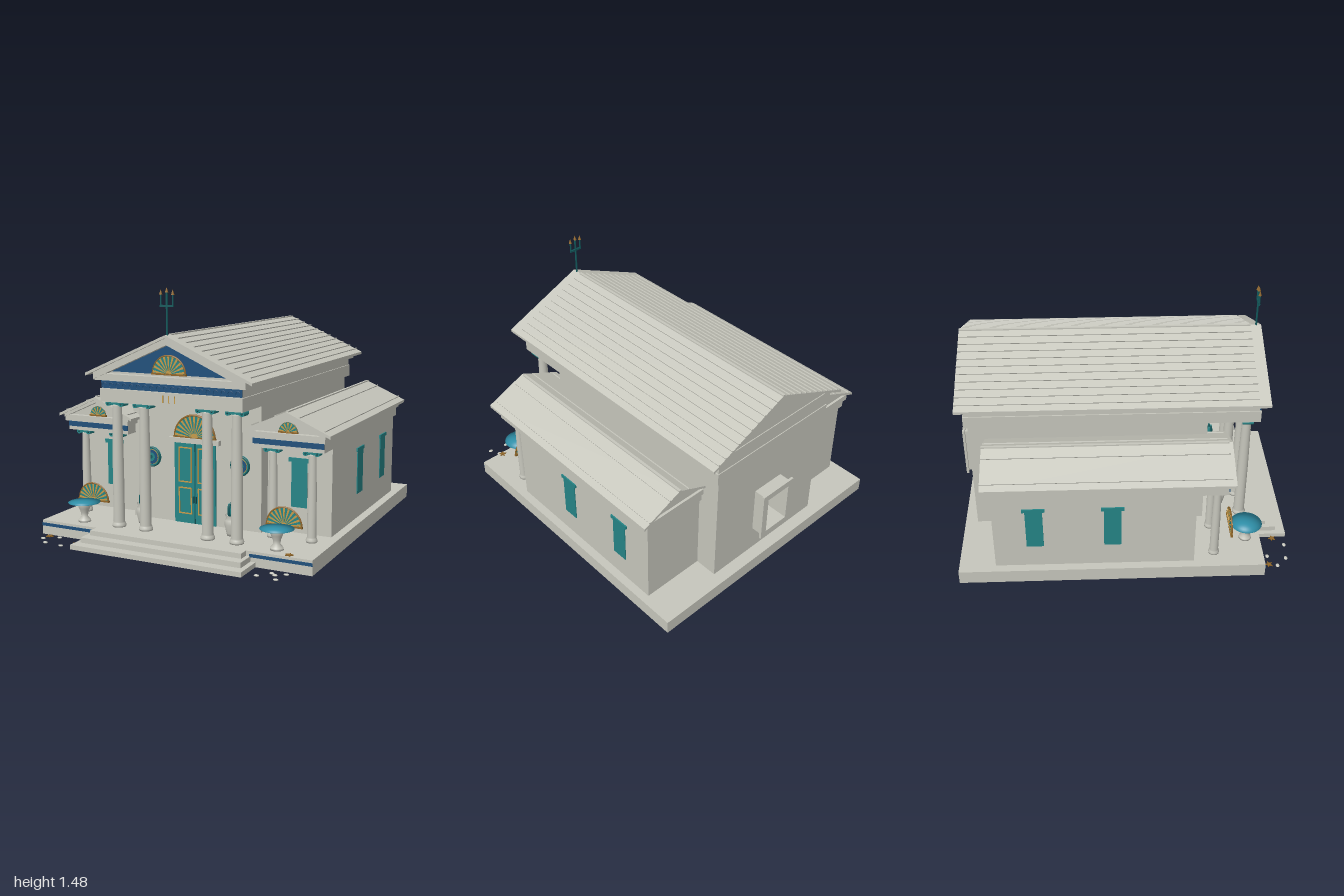
import * as THREE from 'three';

const mat = (name, color, side = THREE.FrontSide) => {
  const m = new THREE.MeshStandardMaterial({ color, side });
  m.name = name;
  return m;
};

export function createModel() {
  const stone = mat('stone', 0xc6c6bc);
  const teal = mat('teal', 0x258486);
  const navy = mat('navy', 0x1f4f7a);
  const gold = mat('gold', 0xc49a4a);
  const bronze = mat('bronze', 0x8f6528);
  const water = mat('water', 0x2f8fa8);
  const darkTeal = mat('dark teal', 0x12595c);

  const root = new THREE.Group();
  root.name = 'temple';
  const add = (name, geo, m, x = 0, y = 0, z = 0, parent = root) => {
    const mesh = new THREE.Mesh(geo, m);
    mesh.name = name;
    mesh.position.set(x, y, z);
    parent.add(mesh);
    return mesh;
  };
  // box given by its ranges
  const box = (name, m, x0, x1, y0, y1, z0, z1, parent = root) =>
    add(name, new THREE.BoxGeometry(x1 - x0, y1 - y0, z1 - z0), m,
      (x0 + x1) / 2, (y0 + y1) / 2, (z0 + z1) / 2, parent);
  const shapeOf = pts => new THREE.Shape(pts.map(p => new THREE.Vector2(...p)));
  const prism = (name, m, pts, z0, z1, parent = root, x = 0, holes = []) => {
    const s = shapeOf(pts);
    holes.forEach(h => s.holes.push(shapeOf(h)));
    return add(name, new THREE.ExtrudeGeometry(s, { depth: z1 - z0, bevelEnabled: false }), m, x, 0, z0, parent);
  };
  const rect = (x0, x1, y0, y1) => [[x0, y0], [x1, y0], [x1, y1], [x0, y1]];
  const chevron = (name, w, y0, y1, t, z0, z1, parent, x) =>
    prism(name, stone, [[-w, y0 - t], [0, y1 - t], [w, y0 - t], [w, y0], [0, y1], [-w, y0]], z0, z1, parent, x);
  const lathe = (pts, n = 24) => new THREE.LatheGeometry(pts.map(p => new THREE.Vector2(...p)), n);

  // shell-shaped half disc with rim and rays
  const fan = (name, r, x, y, z, rays = 9) => {
    const g = new THREE.Group();
    g.name = name;
    g.position.set(x, y, z);
    root.add(g);
    const half = new THREE.Shape();
    half.absarc(0, 0, r * 0.96, 0, Math.PI, false);
    add('fanPlate', new THREE.ExtrudeGeometry(half, { depth: 0.008, bevelEnabled: false, curveSegments: 24 }), teal, 0, 0, -0.004, g);
    add('fanRim', new THREE.TorusGeometry(r * 0.95, r * 0.05, 6, 28, Math.PI), bronze, 0, 0, 0, g);
    box('fanBase', bronze, -r, r, -0.005, 0.005, -0.007, 0.007, g);
    for (let i = 0; i < rays; i++) {
      const a = Math.PI * (i + 0.5) / rays, d = 0.45 * Math.PI / rays / 2;
      const p = (k, b) => [k * r * Math.cos(b), k * r * Math.sin(b)];
      prism('fanRay', gold, [p(0.12, a - d), p(0.92, a - d), p(0.92, a + d), p(0.12, a + d)], -0.006, 0.006, g);
    }
    const hub = new THREE.Shape();
    hub.absarc(0, 0, r * 0.18, 0, Math.PI, false);
    add('fanHub', new THREE.ExtrudeGeometry(hub, { depth: 0.014, bevelEnabled: false }), gold, 0, 0, -0.007, g);
  };

  // column with scrolled capital
  const column = (name, x, z, top, r) => {
    const g = new THREE.Group();
    g.name = name;
    g.position.set(x, 0, z);
    root.add(g);
    const y = 0.085;
    add('shaft', lathe([[0, y], [r * 1.2, y], [r * 1.25, y + 0.01], [r * 1.1, y + 0.022], [r, y + 0.03],
      [r * 0.98, (y + top) / 2], [r * 0.82, top - 0.03], [r * 0.95, top - 0.02], [0, top - 0.02]]), stone, 0, 0, 0, g);
    box('capital', teal, -r * 1.2, r * 1.2, top - 0.022, top, -r * 0.9, r * 0.9, g);
    for (const s of [-1, 1]) {
      const v = add('scroll', new THREE.CylinderGeometry(0.015, 0.015, r * 1.9, 14), teal, s * r * 1.3, top - 0.015, 0, g);
      v.rotation.x = Math.PI / 2;
      add('scrollEye', new THREE.SphereGeometry(0.007, 8, 6), darkTeal, s * r * 1.3, top - 0.015, r * 0.9, g);
    }
  };

  // thin seam lines lying on a roof slope
  const seams = (cx, w, y0, y1, offsets, z0, z1) => {
    for (const s of [-1, 1]) for (const d of offsets) {
      const b = add('roofSeam', new THREE.BoxGeometry(0.007, 0.01, z1 - z0), stone,
        cx + s * d, y1 - (y1 - y0) * d / w + 0.002, (z0 + z1) / 2);
      b.rotation.z = -s * Math.atan((y1 - y0) / w);
    }
  };

  // platform and steps
  box('platform', stone, -0.86, 0.86, 0, 0.085, -0.985, 0.82);
  [[0.535, 0.027, 1], [0.505, 0.057, 0.94], [0.48, 0.085, 0.88]].forEach(([w, h, z]) =>
    box('step', stone, -w, w, 0, h, 0.8, z));

  // main hall, with an opening in the back wall
  box('hall', stone, -0.42, 0.42, 0.085, 0.83, -0.6, 0.49);
  const opening = rect(-0.085, 0.085, 0.275, 0.525);
  prism('hallBack', stone, rect(-0.42, 0.42, 0.085, 0.83), -0.91, -0.6, root, 0, [opening]);
  prism('backWindowFrame', stone, rect(-0.107, 0.107, 0.25, 0.55), -0.985, -0.91, root, 0, [opening]);
  prism('backWindowTrim', stone, rect(-0.125, 0.125, 0.235, 0.565), -0.995, -0.98, root, 0, [opening]);

  // main entablature, pediment and roof
  box('architrave', stone, -0.447, 0.447, 0.825, 0.9, -0.93, 0.795);
  box('friezeCore', stone, -0.44, 0.44, 0.9, 0.955, -0.925, 0.785);
  box('frieze', navy, -0.44, 0.44, 0.904, 0.946, 0.784, 0.792);
  for (let i = 0; i < 20; i++)
    add('friezeWave', new THREE.TorusGeometry(0.013, 0.003, 5, 14, Math.PI * 1.4), navy, (i - 9.5) * 0.044, 0.923, 0.793);
  box('cornice', stone, -0.475, 0.475, 0.95, 0.988, -0.925, 0.815);
  prism('gable', stone, [[-0.46, 0.985], [0.46, 0.985], [0, 1.195]], -0.92, 0.775);
  prism('gablePanel', navy, [[-0.4, 1], [0.4, 1], [0, 1.18]], 0.774, 0.782);
  chevron('mainRoof', 0.52, 0.99, 1.22, 0.016, -0.965, 0.835);
  chevron('rakingCornice', 0.475, 0.995, 1.205, 0.04, 0.76, 0.82);
  seams(0, 0.52, 0.99, 1.22, Array.from({ length: 10 }, (_, i) => 0.048 * (i + 1)), -0.965, 0.77);
  box('ridgeCap', stone, -0.008, 0.008, 1.21, 1.224, -0.965, 0.77);
  fan('gableFan', 0.108, 0, 1.003, 0.79, 11);
  for (const x of [-0.037, 0, 0.037]) box('goldMark', gold, x - 0.003, x + 0.003, 0.845, 0.885, 0.79, 0.799);

  // trident finial
  const trident = new THREE.Group();
  trident.name = 'trident';
  trident.position.set(0, 0, 0.805);
  root.add(trident);
  add('tridentShaft', new THREE.CylinderGeometry(0.006, 0.006, 0.24, 8), darkTeal, 0, 1.33, 0, trident);
  box('tridentBar', darkTeal, -0.042, 0.042, 1.37, 1.381, -0.005, 0.005, trident);
  for (const [x, top] of [[-0.037, 1.465], [0, 1.477], [0.037, 1.465]]) {
    add('prong', new THREE.CylinderGeometry(0.005, 0.005, top - 1.4, 8), darkTeal, x, (top + 1.35) / 2, 0, trident);
    add('prongTip', new THREE.ConeGeometry(0.01, 0.03, 8), bronze, x, top - 0.015, 0, trident);
  }

  // double door with panels
  box('door', teal, -0.135, 0.135, 0.085, 0.568, 0.48, 0.498);
  box('doorLintel', stone, -0.165, 0.165, 0.568, 0.597, 0.48, 0.52);
  box('doorGap', darkTeal, -0.003, 0.003, 0.085, 0.568, 0.49, 0.5);
  for (const s of [-1, 1]) {
    for (const [y0, y1] of [[0.14, 0.3], [0.33, 0.54]]) {
      const a = s < 0 ? -0.107 : 0.02, b = a + 0.087;
      prism('doorPanelTrim', gold, rect(a, b, y0, y1), 0.497, 0.503, root, 0,
        [rect(a + 0.007, b - 0.007, y0 + 0.007, y1 - 0.007)]);
    }
    box('doorHandle', darkTeal, s * 0.009 - 0.003, s * 0.009 + 0.003, 0.21, 0.25, 0.497, 0.508);
  }
  fan('doorFan', 0.138, 0, 0.6, 0.5, 13);

  for (const s of [-1, 1]) {
    for (const x of [0.2, 0.38]) column('mainColumn', s * x, 0.725, 0.825, 0.033);
    for (const x of [0.507, 0.74]) column('wingColumn', s * x, 0.525, 0.6, 0.026);

    // side wing
    const c = s * 0.615;
    box('wing', stone, c - 0.195, c + 0.195, 0.085, 0.61, -0.77, 0.4);
    box('wingArchitrave', stone, c - 0.21, c + 0.21, 0.598, 0.655, -0.785, 0.575);
    box('wingFrieze', navy, c - 0.21, c + 0.21, 0.62, 0.65, 0.574, 0.58);
    box('wingCornice', stone, c - 0.222, c + 0.222, 0.655, 0.692, -0.8, 0.598);
    prism('wingGable', stone, [[-0.22, 0.69], [0.22, 0.69], [0, 0.795]], -0.785, 0.565, root, c);
    chevron('wingRoof', 0.255, 0.7, 0.813, 0.016, -0.815, 0.61, root, c);
    chevron('wingRakingCornice', 0.225, 0.7, 0.8, 0.022, 0.55, 0.6, root, c);
    seams(c, 0.255, 0.7, 0.813, [0.07, 0.215], -0.815, 0.59);
    box('wingRidgeCap', stone, c - 0.008, c + 0.008, 0.803, 0.817, -0.815, 0.59);
    fan('wingFan', 0.057, c, 0.696, 0.572, 7);

    // windows on the wing's front and outer side
    box('frontWindow', teal, c - 0.048, c + 0.048, 0.235, 0.5, 0.397, 0.405);
    box('frontWindowHead', teal, c - 0.063, c + 0.063, 0.497, 0.52, 0.397, 0.41);
    for (const z of [-0.08, -0.53]) {
      const x = s * 0.811;
      box('sideWindow', teal, x - 0.004, x + 0.004, 0.235, 0.5, z - 0.05, z + 0.05);
      box('sideWindowHead', teal, x - 0.007, x + 0.007, 0.495, 0.516, z - 0.066, z + 0.066);
    }

    // round wall medallion
    [[0.06, teal, 0.5], [0.046, gold, 0.503], [0.043, navy, 0.505], [0.026, teal, 0.508], [0.011, darkTeal, 0.511]]
      .forEach(([r, m, z]) => {
        add('medallion', new THREE.CylinderGeometry(r, r, 0.02, 28), m, s * 0.29, 0.462, z - 0.01).rotation.x = Math.PI / 2;
      });
    add('medallionRim', new THREE.TorusGeometry(0.056, 0.005, 6, 28), darkTeal, s * 0.29, 0.462, 0.5);

    // potted plant
    add('pot', lathe([[0, 0.085], [0.026, 0.085], [0.03, 0.1], [0.041, 0.15], [0.038, 0.175], [0.03, 0.187],
      [0.038, 0.203], [0.032, 0.203], [0.028, 0.19], [0, 0.19]]), stone, s * 0.29, 0, 0.605);
    for (let i = 0; i < 7; i++) {
      const a = i * Math.PI / 3, k = i ? 0.016 : 0;
      const leaf = add('plantLeaf', new THREE.SphereGeometry(0.011, 8, 8), i % 2 ? teal : darkTeal,
        s * 0.29 + k * Math.cos(a), i ? 0.228 : 0.24, 0.605 + k * Math.sin(a));
      leaf.scale.y = i ? 3.7 : 4.1;
    }

    // basin with water and a shell behind it
    add('basinPedestal', lathe([[0, 0.085], [0.038, 0.085], [0.036, 0.097], [0.02, 0.115], [0.022, 0.14],
      [0.032, 0.165], [0.04, 0.187], [0.036, 0.198], [0, 0.198]]), stone, s * 0.62, 0, 0.73);
    const dome = new THREE.SphereGeometry(0.095, 32, 16);
    const p = dome.attributes.position;
    for (let i = 0; i < p.count; i++) p.setY(i, p.getY(i) * 0.03);
    add('basinWater', dome, water, s * 0.62, 0.201, 0.73);
    fan('shell', 0.108, s * 0.62, 0.19, 0.63, 11);

    // painted band on the platform front
    box('platformBand', navy, s * 0.68 - 0.18, s * 0.68 + 0.18, 0.052, 0.07, 0.816, 0.823);
  }

  // pebbles and starfish scattered in front
  [[-0.79, 0.91], [-0.71, 0.86], [-0.73, 0.97], [-0.615, 0.98], [0.6, 0.95], [0.66, 0.885], [0.685, 0.905],
    [0.735, 0.87], [0.715, 0.965]].forEach(([x, z]) =>
    add('pebble', new THREE.SphereGeometry(0.015, 12, 8), stone, x, 0.006, z).scale.set(1, 0.4, 0.75));
  [[0.72, 0.8, 0.086], [-0.78, 0.86, 0.003], [-0.555, 0.915, 0.003]].forEach(([x, z, y]) => {
    const pts = Array.from({ length: 10 }, (_, i) => {
      const a = Math.PI / 2 + i * Math.PI / 5, r = i % 2 ? 0.01 : 0.024;
      return [r * Math.cos(a), r * Math.sin(a)];
    });
    const star = prism('starfish', bronze, pts, 0, 0.007);
    star.position.set(x, y, z);
    star.rotation.x = -Math.PI / 2;
  });

  return root;
}
